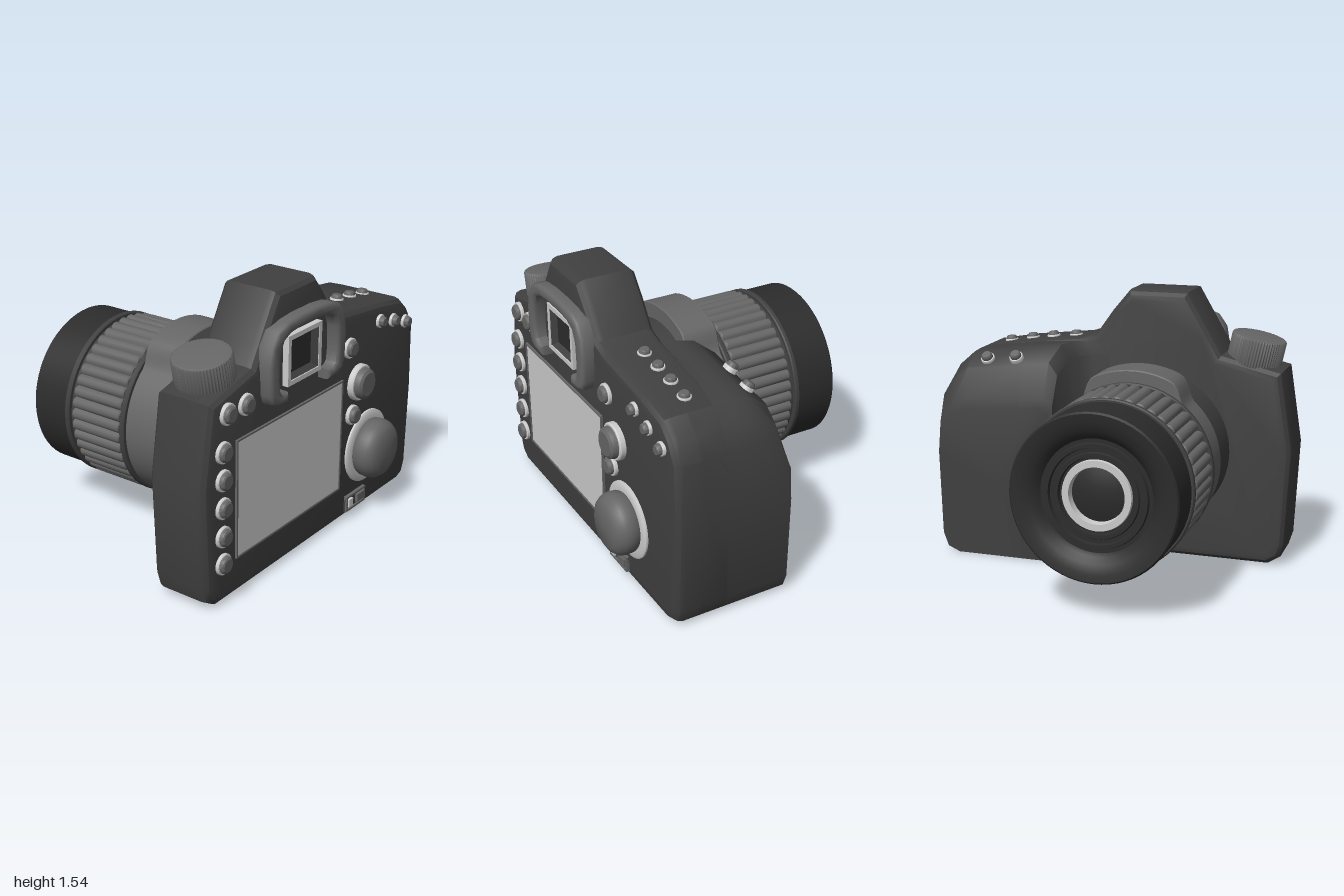
import * as THREE from 'three';
import { toCreasedNormals } from 'three/addons/utils/BufferGeometryUtils.js';

const V2 = (p) => new THREE.Vector2(p[0], p[1]);
const mat = (color) => new THREE.MeshStandardMaterial({ color, side: THREE.DoubleSide });

export function createModel() {
  const root = new THREE.Group();
  const dark = mat(0x404040), black = mat(0x2c2c2c), mid = mat(0x666666), light = mat(0xcccccc);

  function add(name, geo, material, x = 0, y = 0, z = 0, crease = 0.5) {
    const mesh = new THREE.Mesh(toCreasedNormals(geo, crease), material);
    mesh.name = name;
    mesh.position.set(x, y, z);
    root.add(mesh);
    return mesh;
  }

  // Outline extruded from z0 to z1, edges rounded inward by b
  function slab(points, z0, z1, b = 0, segments = 3, hole) {
    const shape = new THREE.Shape(points.map(V2));
    if (hole) shape.holes.push(new THREE.Path(hole.map(V2)));
    const geo = new THREE.ExtrudeGeometry(shape, {
      depth: z1 - z0 - 2 * b, bevelEnabled: b > 0, bevelThickness: b,
      bevelSize: b, bevelOffset: -b, bevelSegments: segments,
    });
    return geo.translate(0, 0, z0 + b);
  }
  const rect = (x0, y0, x1, y1) => [[x0, y0], [x1, y0], [x1, y1], [x0, y1]];
  const box = (x0, y0, x1, y1, z0, z1) => slab(rect(x0, y0, x1, y1), z0, z1);
  const frame = (x0, y0, x1, y1, t, z0, z1) =>
    slab(rect(x0, y0, x1, y1), z0, z1, 0, 1, rect(x0 + t, y0 + t, x1 - t, y1 - t));
  const lathe = (pts, n = 48) => new THREE.LatheGeometry(pts.map(V2), n);

  // Main body with the prism hump
  add('body', slab([
    [-0.88, 0.005], [0.88, 0.005], [0.95, 0.03], [0.98, 0.11], [0.995, 0.6], [0.98, 0.98],
    [0.92, 1.09], [0.83, 1.17], [0.6, 1.21], [0.25, 1.25], [0.15, 1.28], [0.05, 1.42],
    [-0.05, 1.54], [-0.39, 1.54], [-0.52, 1.32], [-0.59, 1.2], [-0.93, 1.12],
    [-1, 0.68], [-0.975, 0.13], [-0.95, 0.05],
  ], 0.3, 0.65, 0.055), dark);

  // Hand grip: outlines stacked from the body toward the lens side
  const outline = [[0.88, 0], [0.6, 0], [0.04, 0], [0, 0.05], [0, 0.6], [0, 1.16], [0.05, 1.24], [0.5, 1.215],
    [0.83, 1.17], [0.92, 1.09], [0.98, 0.98], [0.995, 0.6], [0.98, 0.11], [0.95, 0.03]];
  const sections = [[0.5, 0.06, 1.24], [0.3, 0.06, 1.24], [0.285, 0.15, 1.24], [0.24, 0.22, 1.24],
    [0.16, 0.25, 1.235], [0.05, 0.285, 1.15], [0.0, 0.3, 0.95], [-0.012, 0.33, 0.9]];
  const pos = [], idx = [], n = outline.length;
  for (const [z, x0, top] of sections) {
    outline.forEach(([x, y], k) => pos.push(
      k > 1 && k < 7 ? x0 + x : x,
      y > 0.6 ? 0.6 + (y - 0.6) * (top - 0.6) / 0.64 : y, z));
  }
  const last = (sections.length - 1) * n;
  for (let i = 0; i < last; i += n) {
    for (let j = 0; j < n; j++) {
      const k = (j + 1) % n;
      idx.push(i + j, i + k, i + n + k, i + j, i + n + k, i + n + j);
    }
  }
  pos.push(0.65, 0.45, -0.012);
  for (let j = 0; j < n; j++) idx.push(last + n, last + j, last + (j + 1) % n);
  const gripGeo = new THREE.BufferGeometry();
  gripGeo.setAttribute('position', new THREE.Float32BufferAttribute(pos, 3));
  gripGeo.setIndex(idx);
  add('grip', gripGeo, dark, 0, 0, 0, 0.7);

  // Lens, turned about an axis along z; profiles are [radius, -z]
  const LX = -0.21, LY = 0.65;
  const lensPart = (name, pts, m) => add(name, lathe(pts, 64).rotateX(-Math.PI / 2), m, LX, LY);
  lensPart('lensMount', [[0.44, -0.32], [0.44, 0.2]], dark);
  for (const z of [0.14, 0.53]) {
    lensPart('lensThinRing', [[0.4, z], [0.458, z], [0.465, z + 0.007], [0.465, z + 0.025],
      [0.458, z + 0.032], [0.4, z + 0.032]], dark);
  }
  lensPart('lensInnerTube', [[0.44, 0.14], [0.44, 0.56]], dark);
  lensPart('lensFrontBarrel', [[0.4, 0.55], [0.449, 0.55], [0.449, 0.79], [0.44, 0.8], [0.4, 0.795],
    [0.35, 0.78], [0.315, 0.755], [0.3, 0.735], [0.28, 0.735], [0.275, 0.75], [0.255, 0.75], [0.25, 0.73],
    [0.23, 0.73], [0.225, 0.74], [0.205, 0.74], [0.2, 0.72], [0.17, 0.72]], black);
  lensPart('lensLightRing', [[0.19, 0.715], [0.185, 0.735], [0.15, 0.735], [0.145, 0.69]], light);
  lensPart('lensGlass', [[0.15, 0.69], [0.1, 0.705], [0.05, 0.713], [0, 0.715]], black);

  // Outlines around the lens axis from a radius rule; angle 0 points up
  const radial = (count, r) => Array.from({ length: count }, (_, i) => {
    const a = (i / count) * Math.PI * 2;
    return [-Math.sin(a) * r(a), Math.cos(a) * r(a)];
  });
  add('zoomRing', slab(radial(44 * 6, (a) => 0.443 + 0.022 * Math.sqrt(Math.abs(Math.sin(a * 22)))),
    -0.51, -0.18, 0.008, 1), mid, LX, LY, 0, 0.6);
  const saddle = (a) => {
    const d = Math.min(a, Math.PI * 2 - a);
    return 0.447 + 0.083 * (1 - THREE.MathUtils.smoothstep(d, 0.42, 0.72));
  };
  add('lensSaddle', slab(radial(96, saddle), -0.14, 0.07, 0.006, 1), mid, LX, LY);

  // Round button: light rim and darker cap facing along a direction
  function button(name, p, r, h, dir = [0, 0, 1], capSize = 0.8) {
    const g = new THREE.Group();
    g.name = name;
    const c = r * capSize;
    const parts = [
      [[[r, -0.02], [r, h * 0.35], [r * 0.94, h * 0.45], [c, h * 0.45]], light, 'rim'],
      [[[c, 0], [c, h * 0.6], [c * 0.93, h * 0.85], [c * 0.75, h], [0, h]], mid, 'cap'],
    ];
    for (const [pts, m, label] of parts) {
      const mesh = new THREE.Mesh(toCreasedNormals(lathe(pts, 28), 0.6), m);
      mesh.name = label;
      g.add(mesh);
    }
    g.position.set(...p);
    g.quaternion.setFromUnitVectors(new THREE.Vector3(0, 1, 0), new THREE.Vector3(...dir).normalize());
    root.add(g);
  }
  for (const y of [0.855, 0.705, 0.553, 0.395, 0.242]) button('sideButton', [-0.85, y, 0.65], 0.057, 0.04);
  for (const x of [-0.815, -0.668, 0.273]) button('upperButton', [x, 1.045, 0.65], 0.057, 0.04);
  button('smallButton', [0.318, 0.64, 0.65], 0.057, 0.045);
  for (const [x, y] of [[0.58, 1.11], [0.72, 1.075], [0.855, 1.03]]) {
    button('thumbButton', [x, y, 0.645], 0.038, 0.045);
  }
  button('joystick', [0.372, 0.818, 0.65], 0.103, 0.075, [0, 0, 1], 0.85);
  for (const [x, y] of [[0.31, 1.235], [0.45, 1.222], [0.58, 1.205], [0.715, 1.182]]) {
    button('topButton', [x, y, 0.45], 0.038, 0.035, [0.1, 1, 0]);
  }
  for (const [x, y, z] of [[0.54, 1.155, 0.085], [0.72, 1.135, 0.1]]) {
    button('shutterButton', [x, y, z], 0.04, 0.045, [0.05, 0.8, -0.6]);
  }

  // Large rear control wheel
  const wheel = (name, pts, m) => add(name, lathe(pts).rotateX(Math.PI / 2), m, 0.482, 0.395, 0.65, 0.7);
  wheel('wheelRim', [[0.212, -0.02], [0.212, 0.01], [0.2, 0.018], [0.16, 0.018]], light);
  wheel('wheel', [[0.15, 0], [0.168, 0.03], [0.172, 0.07], [0.165, 0.1], [0.145, 0.128],
    [0.115, 0.145], [0, 0.15]], mid);

  // Rear screen
  add('screenFrame', frame(-0.745, 0.225, 0.212, 0.88, 0.01, 0.63, 0.662), mid);
  add('screen', box(-0.735, 0.235, 0.202, 0.87, 0.63, 0.657), light);

  // Small switch plate
  add('switchPlate', frame(0.28, 0.055, 0.475, 0.147, 0.012, 0.63, 0.67), mid);
  add('switchBase', box(0.28, 0.055, 0.475, 0.147, 0.63, 0.66), dark);
  add('switchKey', box(0.3, 0.078, 0.34, 0.125, 0.65, 0.675), light);
  add('switchSlider', box(0.385, 0.078, 0.46, 0.125, 0.65, 0.675), mid);

  // Eyecup: an arch with inward-turned feet, mirrored about the lens axis
  const half = [[0.18, 0.975], [0.27, 0.98], [0.315, 1.0], [0.335, 1.05], [0.342, 1.2], [0.325, 1.3],
    [0.275, 1.37], [0.19, 1.4], [0.08, 1.41]];
  const inner = [[0.08, 1.345], [0.17, 1.335], [0.225, 1.31], [0.252, 1.25], [0.258, 1.12], [0.25, 1.05],
    [0.225, 1.03], [0.18, 1.03]];
  const flip = (pts) => pts.map(([x, y]) => [-x, y]).reverse();
  add('eyecup', slab([...half, ...flip(half), ...flip(inner), ...inner], 0.62, 0.72, 0.022), mid, -0.205, 0, 0, 0.8);

  // Viewfinder with a funnel inside
  add('viewfinderFrame', frame(-0.352, 1.035, -0.052, 1.305, 0.025, 0.63, 0.685), light);
  const funnel = new THREE.CylinderGeometry(0.18, 0.13, 0.03, 4, 1, true)
    .rotateY(Math.PI / 4).rotateX(Math.PI / 2).scale(1, 0.9, 1);
  add('viewfinderFunnel', funnel, dark, -0.202, 1.17, 0.668);
  add('viewfinderGlass', box(-0.32, 1.06, -0.084, 1.28, 0.63, 0.654), black);

  // Window on the lens side of the hump
  add('windowFrame', frame(-0.36, 1.26, -0.07, 1.425, 0.015, 0.3, 0.36).translate(0, 0, 0.003), light);
  add('windowPane', box(-0.35, 1.27, -0.08, 1.415, 0.308, 0.36), mid);

  // Tilted knurled mode dial
  const knurl = Array.from({ length: 120 }, (_, i) => {
    const a = (i / 120) * Math.PI * 2, r = i % 2 ? 0.155 : 0.15;
    return [Math.cos(a) * r, Math.sin(a) * r];
  });
  const dial = add('modeDial', slab(knurl, -0.1, 0.085, 0.012, 2).rotateX(-Math.PI / 2), mid, -0.755, 1.212, 0.465);
  dial.rotation.z = 0.21;

  return root;
}
